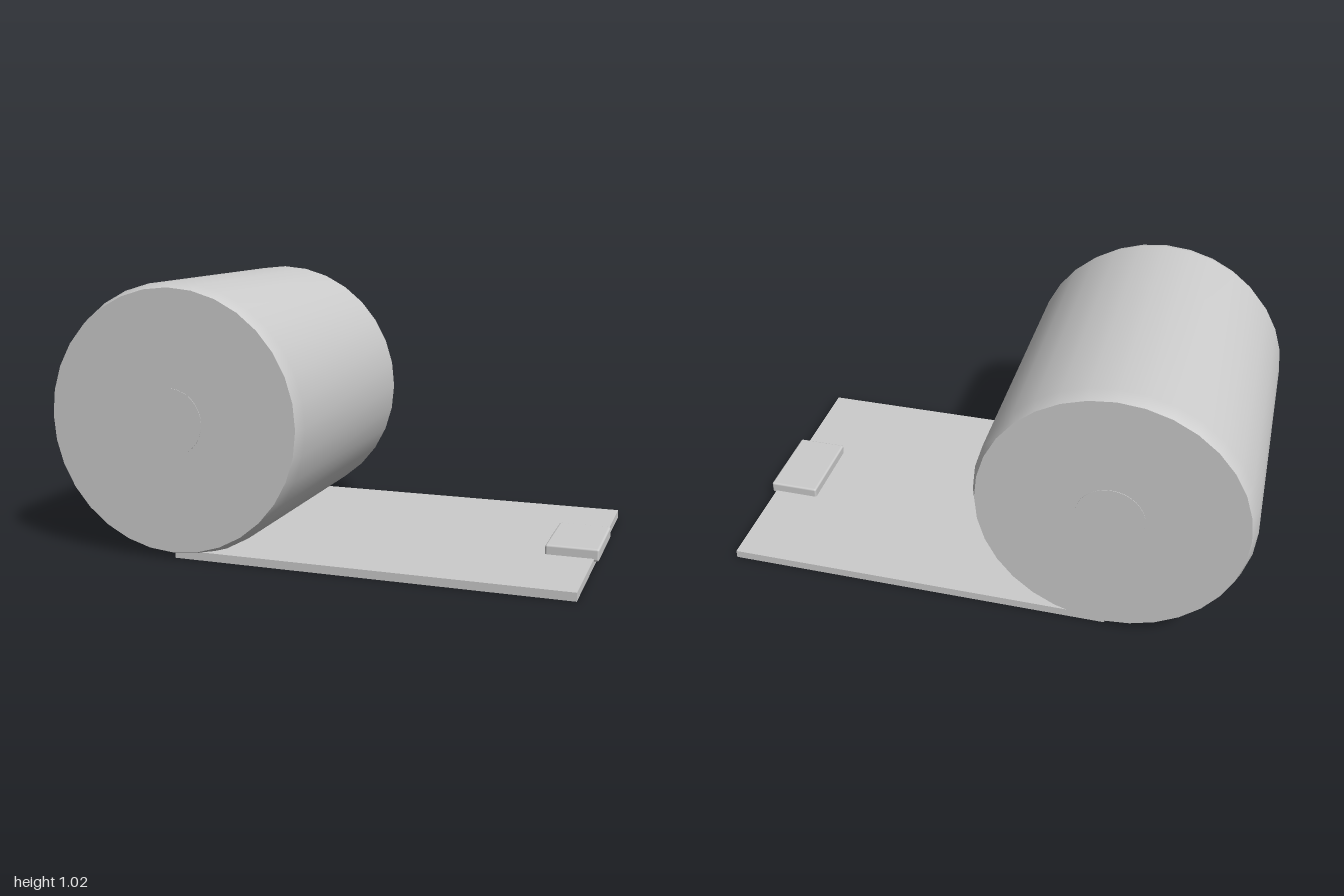
import * as THREE from 'three';
import { RoundedBoxGeometry } from 'three/addons/geometries/RoundedBoxGeometry.js';

export function createModel() {
  const group = new THREE.Group();
  const gray = new THREE.MeshStandardMaterial({ color: 0xcccccc });
  gray.name = 'light gray';

  const add = (name, geometry, x, y, z, parent = group) => {
    const mesh = new THREE.Mesh(geometry, gray);
    mesh.name = name;
    mesh.position.set(x, y, z);
    parent.add(mesh);
    return mesh;
  };

  const SIDES = 32, R = 0.505, END_R = 0.487, HALF = 0.575;

  // Rolled body: smooth wall with narrow tapered rims, axis along z
  const roll = new THREE.Group();
  roll.name = 'roll';
  roll.position.set(-0.495, 0.512, 0);
  group.add(roll);
  const profile = [[END_R, -HALF], [R, -0.525], [R, 0.525], [END_R, HALF]]
    .map(([r, h]) => new THREE.Vector2(r, h));
  const wall = new THREE.LatheGeometry(profile, SIDES).rotateX(Math.PI / 2);
  add('rollWall', wall, 0, 0, 0, roll);

  // Flat ends, each with a barely raised core disc
  for (const side of [1, -1]) {
    const end = add('rollEnd', new THREE.CircleGeometry(END_R, SIDES), 0, 0, side * HALF, roll);
    const core = add('coreDisc',
      new THREE.CylinderGeometry(0.125, 0.125, 0.004, SIDES).rotateX(Math.PI / 2),
      0, 0, side * HALF, roll);
    core.scale.z = 0.9;
    if (side < 0) end.rotation.y = Math.PI;
  }

  // Unrolled flat sheet
  add('sheet', new THREE.BoxGeometry(1.475, 0.031, 1.116), 0.2425, 0.0155, 0);

  // Pull tab at the loose end
  add('pullTab', new RoundedBoxGeometry(0.196, 0.047, 0.326, 2, 0.008), 0.9, 0.0435, 0);

  return group;
}
